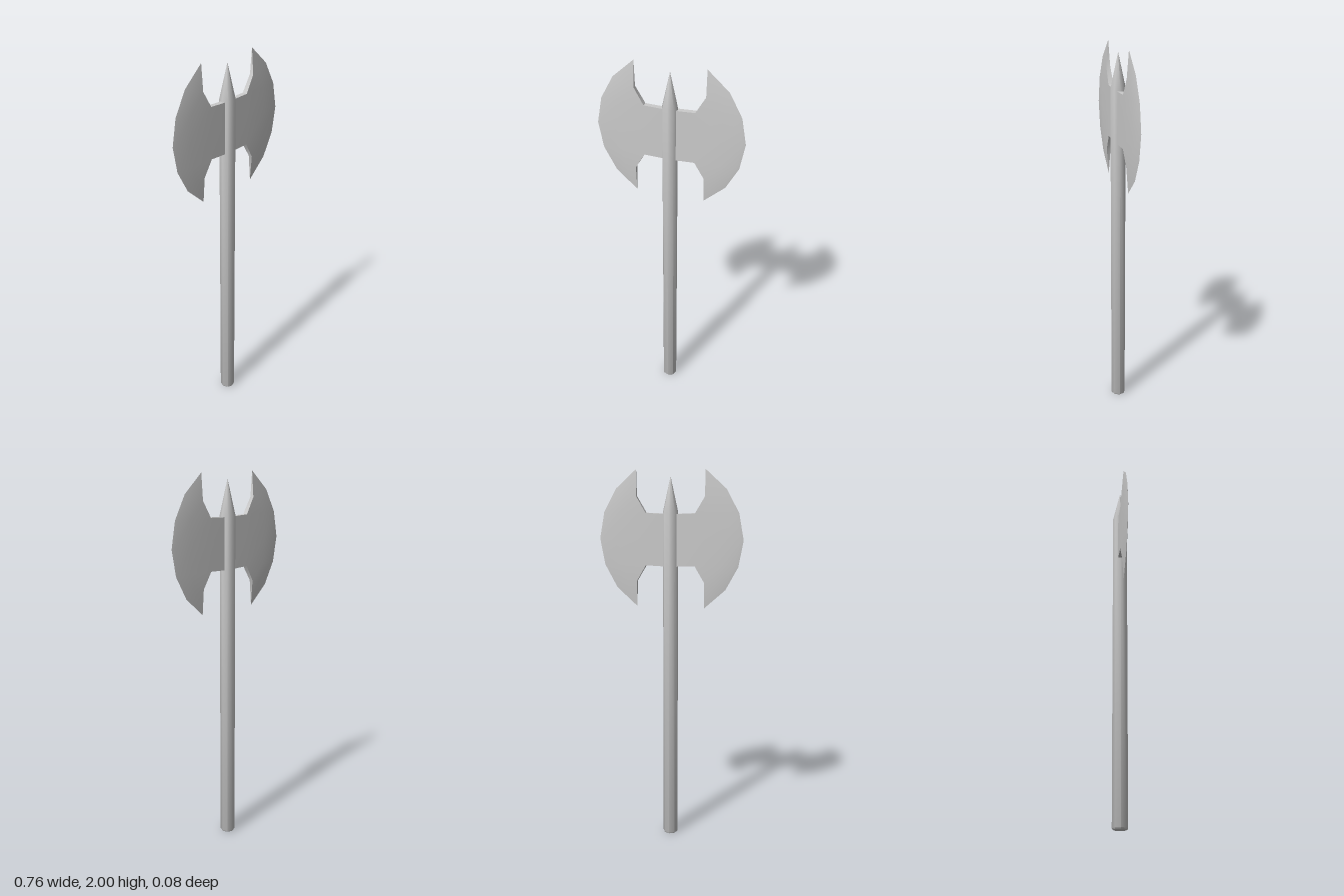
import * as THREE from 'three';
import { toCreasedNormals } from 'three/addons/utils/BufferGeometryUtils.js';

const MID_Y = 1.645;

// One blade half reaching towards +x, built as a grid of rows (bottom to top)
function bladeGeometry() {
  // Rows from the middle to the tip; each has [x, height above middle, half thickness]
  // for the neck side, the belly, the bevel line and the cutting edge
  const half = [
    [[0.13, 0, 0.0135], [0.27, 0, 0.0105], [0.362, 0, 0.003], [0.38, 0, 0]],
    [[0.13, 0.135, 0.0135], [0.26, 0.135, 0.0105], [0.338, 0.131, 0.003], [0.355, 0.136, 0]],
    [[0.18, 0.22, 0.0105], [0.23, 0.23, 0.0085], [0.278, 0.245, 0.003], [0.29, 0.256, 0]],
    [[0.18, 0.355, 0], [0.18, 0.355, 0], [0.18, 0.355, 0], [0.18, 0.355, 0]],
  ];
  const row = (r, s) => r.map(([x, y, z]) => [x, MID_Y + s * y, z]);
  const rows = [
    ...half.slice(1).reverse().map((r) => row(r, -1)),
    ...half.map((r) => row(r, 1)),
  ];
  const neck = { 2: [0, MID_Y - 0.14, 0.014], 3: [0, MID_Y, 0.014], 4: [0, MID_Y + 0.13, 0.014] };

  const pos = [];
  const back = ([x, y, z]) => [x, y, -z];
  const quad = (a, b, c, d) => pos.push(...a, ...b, ...c, ...a, ...c, ...d);
  const bothFaces = (a, b, c, d) => {
    quad(a, b, c, d);
    quad(back(d), back(c), back(b), back(a));
  };

  for (let j = 0; j < 6; j++) {
    const lo = rows[j], hi = rows[j + 1];
    for (let i = 0; i < 3; i++) bothFaces(lo[i], lo[i + 1], hi[i + 1], hi[i]);
    if (j === 2 || j === 3) bothFaces(neck[j], lo[0], hi[0], neck[j + 1]);
    else quad(back(lo[0]), lo[0], hi[0], back(hi[0])); // wall behind the horns
  }
  // Top and bottom walls of the neck
  quad(neck[4], rows[4][0], back(rows[4][0]), back(neck[4]));
  quad(back(neck[2]), back(rows[2][0]), rows[2][0], neck[2]);

  const g = new THREE.BufferGeometry();
  g.setAttribute('position', new THREE.Float32BufferAttribute(pos, 3));
  return toCreasedNormals(g, Math.PI / 4);
}

export function createModel() {
  const model = new THREE.Group();
  const material = new THREE.MeshStandardMaterial({ color: 0xcccccc });

  // Eight-sided handle with a pointed top
  const profile = [[0, 0], [0.036, 0], [0.04, 0.006], [0.04, 1.785], [0, 1.965]];
  const handle = new THREE.Mesh(
    toCreasedNormals(
      new THREE.LatheGeometry(profile.map(([x, y]) => new THREE.Vector2(x, y)), 8),
      Math.PI / 3.5
    ),
    material
  );
  handle.name = 'handle';
  model.add(handle);

  // Two blades, the second turned half way round
  const blade = bladeGeometry();
  ['leftBlade', 'rightBlade'].forEach((name, i) => {
    const mesh = new THREE.Mesh(blade, material);
    mesh.name = name;
    mesh.rotation.y = i * Math.PI;
    model.add(mesh);
  });

  return model;
}
